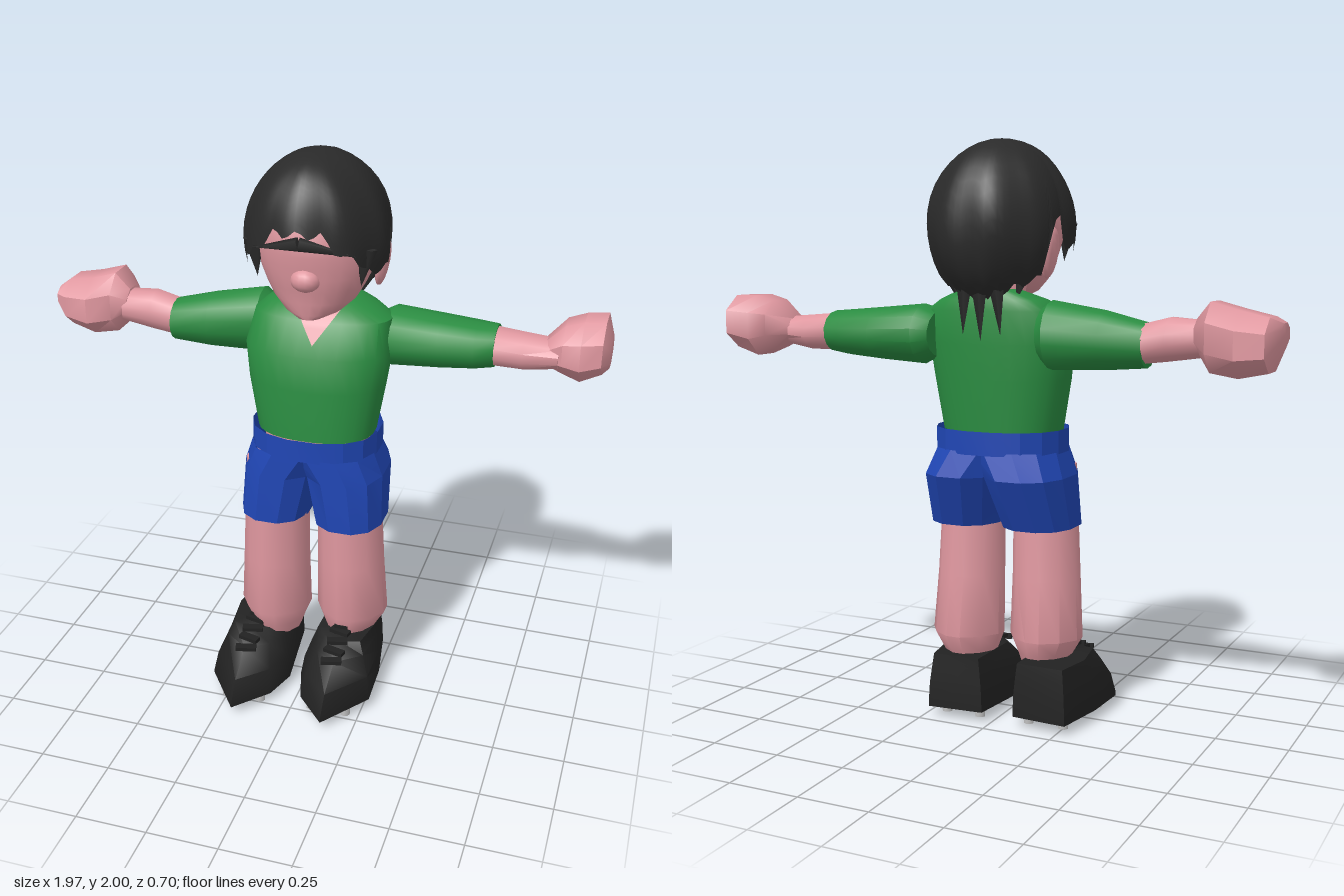
import * as THREE from 'three';
import { toCreasedNormals } from 'three/addons/utils/BufferGeometryUtils.js';

const mat = (name, color) =>
  new THREE.MeshStandardMaterial({ name, color, side: THREE.DoubleSide });

// Skin over a list of equal-length point loops
function skinRings(rings, { capStart = true, capEnd = true, crease = 0.7 } = {}) {
  const n = rings[0].length, pos = rings.flat(2), idx = [];
  for (let i = 0; i < rings.length - 1; i++) {
    for (let j = 0; j < n; j++) {
      const a = i * n + j, b = i * n + (j + 1) % n, c = b + n, d = a + n;
      idx.push(a, d, c, a, c, b);
    }
  }
  const cap = (ring, first, flip) => {
    const k = pos.length / 3;
    for (let q = 0; q < 3; q++) pos.push(ring.reduce((s, p) => s + p[q], 0) / n);
    for (let j = 0; j < n; j++) {
      const a = first + j, b = first + (j + 1) % n;
      idx.push(k, flip ? b : a, flip ? a : b);
    }
  };
  if (capStart) cap(rings[0], 0, false);
  if (capEnd) cap(rings[rings.length - 1], (rings.length - 1) * n, true);
  const g = new THREE.BufferGeometry();
  g.setAttribute('position', new THREE.Float32BufferAttribute(pos, 3));
  g.setIndex(idx);
  g.computeVertexNormals();
  return toCreasedNormals(g, crease);
}

// Rounded sections along an axis: y -> [y, x0,x1, z0,z1], x -> [x, z0,z1, y0,y1]
function loft(axis, rows, n = 16, p = 2.5, opts) {
  const soft = (v) => Math.sign(v) * Math.abs(v) ** (2 / p);
  return skinRings(rows.map(([t, a0, a1, b0, b1]) =>
    Array.from({ length: n }, (_, j) => {
      const w = ((j + 0.5) / n) * Math.PI * 2, k = 1 / Math.cos(Math.PI / n) ** (2 / p);
      const a = (a0 + a1) / 2 + (a1 - a0) / 2 * soft(Math.cos(w)) * k;
      const b = (b0 + b1) / 2 + (b1 - b0) / 2 * soft(Math.sin(w)) * k;
      return axis === 'y' ? [a, t, b] : [t, b, a];
    })), opts);
}

export function createModel() {
  const model = new THREE.Group();
  const skin = mat('skin', 0xdf979f), hairBlack = mat('hair black', 0x2a2a2a);
  const green = mat('shirt green', 0x2a8c41), blue = mat('shorts blue', 0x2046b4);
  const shoeBlack = mat('shoe black', 0x222222), grey = mat('stud grey', 0xc4c4c4);
  const add = (name, geo, material, parent = model) => {
    const m = new THREE.Mesh(geo, material);
    m.name = name;
    parent.add(m);
    return m;
  };

  // Shirt body
  const torso = [
    [1.02, -0.2, 0.215, -0.22, 0.09], [1.2, -0.235, 0.245, -0.23, 0.08],
    [1.32, -0.25, 0.262, -0.235, 0.065], [1.43, -0.226, 0.255, -0.235, 0.005],
    [1.465, -0.18, 0.2, -0.23, -0.03], [1.5, -0.09, 0.11, -0.22, -0.1]];
  const torsoPower = 2.4;
  add('shirtBody', loft('y', torso, 28, torsoPower, { capStart: false }), green);
  add('waist', loft('y', [[0.9, -0.18, 0.19, -0.2, 0.065], [1.03, -0.18, 0.19, -0.2, 0.065]], 16, 2), skin);

  // V-shaped neckline laid over the chest
  const chestZ = (x, y) => {
    const i = Math.max(0, torso.findIndex((r) => r[0] >= y) - 1), A = torso[i], B = torso[i + 1];
    const r = A.map((v, k) => v + (B[k] - v) * (y - A[0]) / (B[0] - A[0]));
    const u = Math.min(1, Math.abs((x - (r[1] + r[2]) / 2) / ((r[2] - r[1]) / 2)));
    return (r[3] + r[4]) / 2 + (r[4] - r[3]) / 2 * (1 - u ** torsoPower) ** (1 / torsoPower);
  };
  const vee = new THREE.PlaneGeometry(1, 1, 10, 10), vp = vee.attributes.position;
  for (let i = 0; i < vp.count; i++) {
    const t = vp.getY(i) + 0.5, y = 1.36 + 0.13 * t, x = 0.02 + vp.getX(i) * 0.18 * t;
    vp.setXYZ(i, x, y, chestZ(x, y) + 0.007);
  }
  vee.computeVertexNormals();
  add('neckline', vee, skin);

  // Neck and head
  add('neck', loft('y', [[1.38, -0.08, 0.11, -0.18, -0.03], [1.46, -0.085, 0.11, -0.17, -0.03],
    [1.6, -0.08, 0.1, -0.17, 0]], 14, 2), skin);
  add('head', loft('y', [
    [1.472, -0.03, 0.06, 0.0, 0.1], [1.49, -0.08, 0.11, -0.09, 0.105], [1.53, -0.125, 0.155, -0.14, 0.11],
    [1.575, -0.15, 0.18, -0.17, 0.12], [1.62, -0.17, 0.2, -0.2, 0.132], [1.66, -0.185, 0.21, -0.22, 0.135],
    [1.7, -0.19, 0.212, -0.24, 0.145], [1.8, -0.185, 0.2, -0.24, 0.14], [1.9, -0.12, 0.13, -0.18, 0.06]],
    24, 2, { crease: 1.2 }), skin);
  const nose = add('nose', new THREE.SphereGeometry(1, 14, 10), skin);
  nose.scale.set(0.05, 0.04, 0.042);
  nose.position.set(0.02, 1.618, 0.12);
  for (const s of [-1, 1]) {
    const ear = add(s > 0 ? 'leftEar' : 'rightEar', new THREE.SphereGeometry(1, 10, 8), skin);
    ear.scale.set(0.022, 0.085, 0.05);
    ear.position.set(0.01 + s * 0.203, 1.62, -0.13);
    ear.rotation.z = -s * 0.15;
  }

  // Hair shell: rounded cap whose lower edge varies around the head
  const edge = [[0, 1.775], [0.35, 1.77], [0.55, 1.715], [0.85, 1.68], [1.1, 1.62], [1.65, 1.63], [1.75, 1.72],
    [1.9, 1.72], [2.0, 1.53], [2.5, 1.49], [Math.PI, 1.46]];
  const edgeAt = (a) => {
    const i = Math.max(1, edge.findIndex((e) => e[0] >= a - 1e-6)), [a0, y0] = edge[i - 1], [a1, y1] = edge[i];
    return y0 + (y1 - y0) * (a - a0) / (a1 - a0);
  };
  const N = 72, rows = 14, hair = [];
  for (let i = rows; i >= 0; i--) {
    hair.push(Array.from({ length: N }, (_, j) => {
      const w = (j / N) * Math.PI * 2, front = Math.sin(w);
      const jag = [0, 0.018, 0.025, 0.008][j % 4];
      const fromFront = Math.acos(Math.max(-1, Math.min(1, front)));
      const low = Math.acos(Math.max(-0.86, (edgeAt(fromFront) + jag - 1.705) / 0.293));
      const phi = Math.max(0.02, (i / rows) * low), r = Math.sin(phi);
      const lump = 1 + 0.018 * Math.sin(w * 9) * r + 0.012 * Math.sin(w * 5 + phi * 4) * r;
      const depth = front > 0 ? 0.272 * r ** 0.65 : 0.276 * r;
      return [0.005 + 0.243 * r * Math.cos(w) * lump, 1.705 + 0.293 * Math.cos(phi), -0.08 + depth * front * lump];
    }));
  }
  add('hairCap', skinRings(hair, { capStart: false, crease: 0.6 }), hairBlack);
  // Locks: tapered strands [x, top y, z, length, width, lean x, turn y, lean z]
  const lock = (name, [x, y, z, len, w, rx, ry, rz]) => {
    const g = new THREE.ConeGeometry(w, len, 5);
    g.rotateX(Math.PI).translate(0, -len / 2, 0).scale(1, 1, 0.5);
    const m = add(name, g, hairBlack);
    m.position.set(x, y, z);
    m.rotation.set(rx, ry, rz);
  };
  for (let i = -1; i <= 1; i++) {
    lock('backLock', [0.005 + i * 0.055, 1.58, -0.255 + Math.abs(i) * 0.008, 0.25 - Math.abs(i) * 0.02, 0.042, -0.03, 0, i * 0.06]);
  }
  for (const s of [-1, 1]) {
    lock('fringeLock', [0.01, 1.75, 0.165, 0.19, 0.025, 0, s * 0.3, s * 1.35]);
    lock('templeLock', [0.01 + s * 0.19, 1.72, 0.05, 0.13, 0.04, 0, 0, -s * 0.1]);
    lock('napeLock', [0.01 + s * 0.15, 1.6, -0.19, 0.14, 0.045, 0, 0, -s * 0.3]);
  }

  // Arms
  add('rightSleeve', loft('x', [[-0.54, -0.215, -0.06, 1.255, 1.4], [-0.4, -0.24, -0.05, 1.245, 1.435],
    [-0.22, -0.27, -0.06, 1.24, 1.465], [-0.19, -0.25, -0.08, 1.27, 1.44]], 14, 2), green);
  add('rightForearm', loft('x', [[-0.76, -0.21, -0.085, 1.3, 1.41], [-0.62, -0.215, -0.07, 1.28, 1.42],
    [-0.5, -0.21, -0.07, 1.265, 1.39]], 12, 2), skin);
  add('rightHand', loft('x', [[-0.983, -0.19, -0.08, 1.34, 1.41], [-0.955, -0.28, -0.075, 1.26, 1.43],
    [-0.86, -0.285, -0.05, 1.24, 1.45], [-0.77, -0.285, -0.065, 1.255, 1.475],
    [-0.715, -0.215, -0.09, 1.32, 1.42]], 8, 2.1, { crease: 0.8 }), skin);
  add('leftSleeve', loft('x', [[0.2, -0.26, -0.08, 1.27, 1.42], [0.25, -0.29, -0.06, 1.245, 1.445],
    [0.42, -0.288, -0.065, 1.255, 1.43], [0.54, -0.28, -0.075, 1.265, 1.42],
    [0.605, -0.265, -0.095, 1.275, 1.415]], 14, 2), green);
  add('leftForearm', loft('x', [[0.58, -0.258, -0.1, 1.28, 1.41], [0.7, -0.25, -0.095, 1.28, 1.4],
    [0.82, -0.24, -0.095, 1.3, 1.39]], 12, 2), skin);
  add('leftHand', loft('x', [[0.765, -0.24, -0.12, 1.31, 1.385], [0.83, -0.295, -0.1, 1.28, 1.45],
    [0.89, -0.315, -0.1, 1.255, 1.468], [0.96, -0.345, -0.105, 1.285, 1.468],
    [0.983, -0.27, -0.14, 1.31, 1.41]], 8, 2.1, { crease: 0.8 }), skin);

  // Shorts
  add('waistband', loft('y', [[0.95, -0.222, 0.232, -0.262, 0.112], [1.03, -0.222, 0.232, -0.262, 0.112]],
    16, 2.3, { capStart: false, capEnd: false, crease: 0.3 }), blue);
  for (const s of [-1, 1]) {
    const row = (y, inner, outer, z0, z1) => {
      const a = 0.005 + s * inner, b = 0.005 + s * outer;
      return [y, Math.min(a, b), Math.max(a, b), z0, z1];
    };
    const side = s > 0 ? 'left' : 'right';
    add(side + 'ShortsLeg', loft('y', [row(0.69, 0.012, 0.26, -0.195, 0.112), row(0.87, -0.03, 0.253, -0.275, 0.112),
      row(0.96, -0.1, 0.222, -0.25, 0.11)], 12, 2.35, { capStart: false, capEnd: false, crease: 0.25 }), blue);

    // Bare leg
    const dz = s > 0 ? 0 : 0.045;
    add(side + 'Leg', loft('y', [row(0.19, 0.05, 0.21, -0.15 + dz, 0.03 + dz), row(0.235, 0.035, 0.235, -0.17 + dz, 0.05 + dz),
      row(0.29, 0.013, 0.268, -0.19 + dz, 0.062 + dz), row(0.5, 0.015, 0.255, -0.165 + dz, 0.062 + dz),
      row(0.9, 0.015, 0.235, -0.14 + dz, 0.058 + dz)], 12, 1.65), skin);

    // Boot: pointed sole outline narrowing to the ankle
    const boot = new THREE.Group();
    boot.name = side + 'Boot';
    boot.position.set(s > 0 ? 0.13 : -0.183, 0, s > 0 ? 0 : 0.012);
    model.add(boot);
    const sole = [[0.143, 0.16], [0.01, 0.342], [-0.1, 0.22], [-0.137, 0.1], [-0.1, -0.2], [0.1, -0.215], [0.135, -0.02]];
    const ankle = [[0.085, 0.08], [0.015, 0.1], [-0.05, 0.08], [-0.09, 0.03], [-0.085, -0.195], [0.085, -0.2], [0.11, -0.06]];
    const level = ([y, t]) => {
      const ring = sole.map(([x, z], i) => [s * (x + (ankle[i][0] - x) * t), y, z + (ankle[i][1] - z) * t]);
      return s > 0 ? ring : ring.reverse();
    };
    add('upper', skinRings([[0.035, 0], [0.05, 0.01], [0.12, 0.22], [0.185, 0.68], [0.225, 1]].map(level),
      { crease: 0.9 }), shoeBlack, boot);
    for (let i = 0; i < 4; i++) {
      const lace = add('lace', new THREE.BoxGeometry(0.075, 0.014, 0.03), shoeBlack, boot);
      lace.position.set(s * 0.005, 0.245 - i * 0.017, 0.065 + i * 0.04);
      lace.rotation.y = i % 2 ? 0.25 : -0.25;
    }
    const knot = add('laceKnot', new THREE.BoxGeometry(0.05, 0.05, 0.02), shoeBlack, boot);
    knot.position.set(s * 0.005, 0.24, 0.05);
    for (const [x, z] of [[0.07, 0.22], [-0.06, 0.22], [0.09, 0.11], [-0.085, 0.11], [0.065, -0.14], [-0.065, -0.14]]) {
      const stud = add('stud', new THREE.CylinderGeometry(0.02, 0.018, 0.036, 8), grey, boot);
      stud.position.set(s * x, 0.018, z);
    }
  }
  return model;
}
